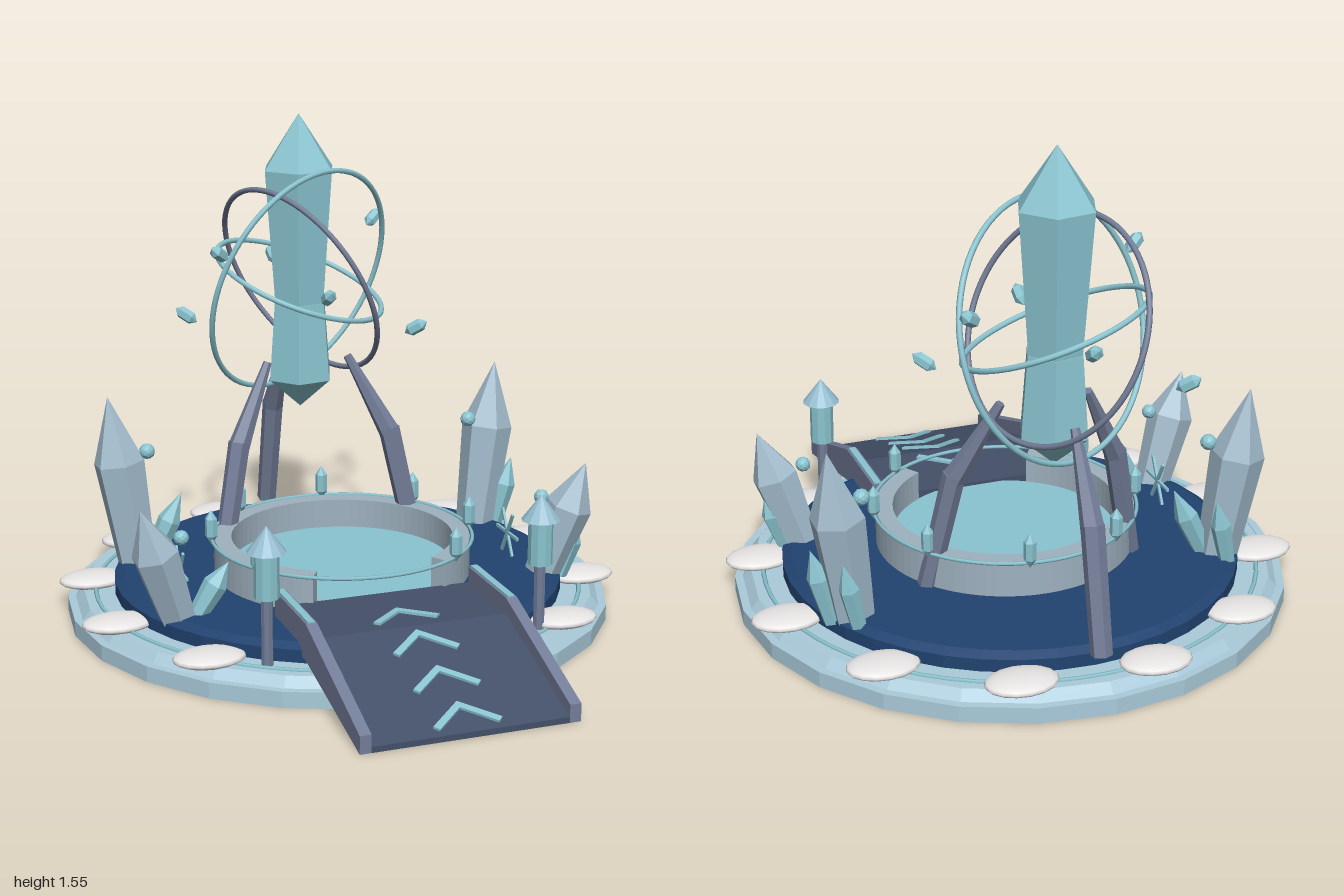
import * as THREE from 'three';

const mat = (name, color) => {
  const m = new THREE.MeshStandardMaterial({ color });
  m.name = name;
  return m;
};
const V = (x, y, z) => new THREE.Vector3(x, y, z);
const UP = V(0, 1, 0);
const rad = THREE.MathUtils.degToRad;

// Faceted normals for low-poly parts
function flat(geo) {
  const g = geo.index ? geo.toNonIndexed() : geo;
  g.computeVertexNormals();
  return g;
}

export function createModel() {
  const root = new THREE.Group();
  const M = {
    ice: mat('pale ice stone', 0xabcbdb),
    rim: mat('grey rim stone', 0x9fb2c0),
    navy: mat('deep blue floor', 0x214370),
    teal: mat('teal crystal', 0x8ac4d0),
    frost: mat('grey blue crystal', 0xa3bccd),
    metal: mat('slate metal', 0x737d98),
    deck: mat('dark ramp deck', 0x445069),
    snow: mat('snow', 0xebe8e8),
    roof: mat('lamp roof blue', 0x97bfd2),
  };

  const add = (name, geo, material, x = 0, y = 0, z = 0, parent = root) => {
    const m = new THREE.Mesh(geo, material);
    m.name = name;
    m.position.set(x, y, z);
    parent.add(m);
    return m;
  };
  const disc = (name, rTop, rBottom, y0, y1, z, n, material) =>
    add(name, flat(new THREE.CylinderGeometry(rTop, rBottom, y1 - y0, n)), material, 0, (y0 + y1) / 2, z);
  // Tapered rod between two points
  const rod = (name, a, b, ra, rb, n, material) => {
    const d = b.clone().sub(a);
    const m = add(name, flat(new THREE.CylinderGeometry(rb, ra, d.length(), n)), material);
    m.position.copy(a).addScaledVector(d, 0.5);
    m.quaternion.setFromUnitVectors(UP, d.normalize());
    return m;
  };
  // Faceted crystal from base to tip, profile = [radius share, length share]
  const crystal = (name, a, b, r, material, profile, n = 6) => {
    const d = b.clone().sub(a), len = d.length();
    const pts = profile.map(([p, t]) => new THREE.Vector2(p * r, t * len));
    const m = add(name, flat(new THREE.LatheGeometry(pts, n)), material, a.x, a.y, a.z);
    m.quaternion.setFromUnitVectors(UP, d.normalize());
    return m;
  };
  const POINTED = [[0, 0], [0.75, 0], [1, 0.62], [0, 1]];
  const SPINDLE = [[0, 0], [1, 0.25], [1, 0.75], [0, 1]];

  // Round base and blue floor
  const CZ = -0.13;
  disc('baseStep', 0.87, 0.87, 0, 0.05, CZ, 24, M.ice);
  disc('baseLedge', 0.82, 0.845, 0.05, 0.08, CZ, 24, M.ice);
  disc('floorSide', 0.72, 0.72, 0.08, 0.12, CZ, 40, M.navy);
  disc('floor', 0.69, 0.72, 0.12, 0.135, CZ, 40, M.navy);
  add('baseInlay', new THREE.TorusGeometry(0.78, 0.007, 6, 64).rotateX(Math.PI / 2), M.teal, 0, 0.081, CZ);

  // Snow mounds around the edge, leaving the ramp free
  for (let i = 0; i < 12; i++) {
    const deg = 18 + i * 30;
    if (deg > 150 && deg < 210) continue;
    const m = add('snowMound', new THREE.SphereGeometry(1, 16, 10), M.snow,
      0.79 * Math.sin(rad(deg)), 0.092, CZ - 0.79 * Math.cos(rad(deg)));
    m.scale.set(0.112, 0.024, 0.08);
  }

  // Pool with a rim that opens toward the ramp
  const PZ = -0.085;
  const rim = new THREE.Shape();
  rim.absarc(0, 0, 0.41, rad(-58), rad(238), false);
  rim.absarc(0, 0, 0.355, rad(238), rad(-58), true);
  add('poolRim', new THREE.ExtrudeGeometry(rim, { depth: 0.12, bevelEnabled: false, curveSegments: 32 })
    .rotateX(-Math.PI / 2), M.rim, 0, 0.13, PZ);
  disc('water', 0.357, 0.357, 0.13, 0.155, PZ, 40, M.teal);
  add('rimRing', new THREE.TorusGeometry(0.418, 0.006, 6, 64).rotateX(Math.PI / 2), M.teal, 0, 0.25, PZ);
  for (let i = 0; i < 7; i++) {
    const a = rad(38 + 44 * i), x = 0.42 * Math.sin(a), z = PZ + 0.42 * Math.cos(a);
    crystal('rimShard', V(x, 0.235, z), V(x, 0.35, z), 0.02, M.teal, SPINDLE);
  }

  // Ramp deck, side walls and chevrons
  const side = (pts, width, xRight, name, material) => {
    const s = new THREE.Shape(pts.map(([z, y]) => new THREE.Vector2(z, y)));
    add(name, new THREE.ExtrudeGeometry(s, { depth: width, bevelEnabled: false }).rotateY(-Math.PI / 2),
      material, xRight);
  };
  side([[1, 0], [1, 0.018], [0.54, 0.165], [0.25, 0.165], [0.25, 0.11], [0.54, 0.11]],
    0.6, 0.3, 'rampDeck', M.deck);
  for (const x of [0.335, -0.3]) {
    side([[1, 0], [1, 0.055], [0.54, 0.215], [0.25, 0.215], [0.25, 0.1], [0.54, 0.1]],
      0.035, x, 'rampWall', M.metal);
    add('wallStrip', new THREE.BoxGeometry(0.022, 0.006, 0.29), M.teal, x - 0.0175, 0.217, 0.395);
  }
  const vee = new THREE.Shape([[0, 0], [0.105, -0.09], [0.09, -0.106], [0, -0.028], [-0.09, -0.106], [-0.105, -0.09]]
    .map(p => new THREE.Vector2(...p)));
  const veeGeo = new THREE.ExtrudeGeometry(vee, { depth: 0.008, bevelEnabled: false }).rotateX(-Math.PI / 2);
  const slope = Math.atan2(0.147, 0.46);
  [0.4, 0.565, 0.725, 0.88].forEach((z, i) => {
    const m = add('chevron', veeGeo, M.teal, 0, i ? 0.165 - (z - 0.54) * Math.tan(slope) : 0.165, z);
    if (i) m.rotation.x = slope;
  });

  // Great floating crystal in two parts
  const HUB = V(0, 1, -0.5);
  const great = (name, pts) => {
    const m = add(name, flat(new THREE.LatheGeometry(pts.map(p => new THREE.Vector2(...p)), 6)), M.teal, 0, 0, HUB.z);
    m.rotation.y = rad(40);
  };
  great('crystalTop', [[0, 0.9], [0.09, 0.92], [0.125, 1.37], [0, 1.55]]);
  great('crystalBottom', [[0, 0.57], [0.113, 0.67], [0.093, 0.93], [0, 0.94]]);

  // Tilted orbit rings
  const orbit = (name, r, n, material) => {
    const m = add(name, new THREE.TorusGeometry(r, 0.009, 8, 72), material, HUB.x, HUB.y, HUB.z);
    m.quaternion.setFromUnitVectors(V(0, 0, 1), n.normalize());
  };
  orbit('outerRing', 0.392, V(0.46, -0.31, 0.835), M.teal);
  orbit('innerRing', 0.288, V(0.29, 0.93, 0.22), M.teal);
  orbit('darkRing', 0.347, V(0.845, 0.43, -0.33), M.metal);

  // Shards circling the great crystal
  [[0.335, 1.15, -0.71], [-0.335, 1.15, -0.29], [0.33, 0.86, -0.29], [-0.33, 0.86, -0.71],
    [0, 1, -0.21], [0, 1.03, -0.79]].forEach(([x, y, z]) => {
    const c = V(x, y, z), d = V(x, 0, z - HUB.z).normalize().setY(0.6).normalize().multiplyScalar(0.043);
    crystal('orbitShard', c.clone().sub(d), c.clone().add(d), 0.021, M.teal, SPINDLE);
  });

  // Three bent supports
  for (const deg of [60, 180, 300]) {
    const at = (r, y) => V(r * Math.sin(rad(deg)), y, HUB.z + r * Math.cos(rad(deg)));
    rod('supportLower', at(0.385, 0.13), at(0.3, 0.51), 0.033, 0.036, 6, M.metal);
    rod('supportUpper', at(0.302, 0.495), at(0.16, 0.75), 0.036, 0.014, 6, M.metal);
  }

  // Crystal clusters with an orb, at both sides
  for (const s of [1, -1]) {
    crystal('tallCrystal', V(s * 0.595, 0.11, -0.4), V(s * 0.675, 0.68, -0.43), 0.085, M.frost, POINTED);
    crystal('shortCrystal', V(s * 0.605, 0.11, 0.13), V(s * 0.73, 0.49, 0.18), 0.075, M.frost, POINTED);
    for (const [z, h] of [[-0.39, 0.35], [0.14, 0.29]]) {
      const x = s > 0 ? 0.66 : -0.56;
      crystal('smallCrystal', V(x, 0.11, z), V(x + (s > 0 ? 0.06 : 0.11), h, z + 0.01), 0.038, M.teal, POINTED);
    }
    crystal('smallCrystal', V(s * 0.6, 0.11, -0.47), V(s * 0.6 + 0.05, 0.34, -0.48), 0.032, M.teal, POINTED);
    add('orb', flat(new THREE.IcosahedronGeometry(0.026, 1)), M.teal, s * 0.56, 0.5, -0.385);
    add('orb', flat(new THREE.IcosahedronGeometry(0.024, 1)), M.teal, s * 0.595, 0.38, 0.14);

    // Lamp post
    const lx = s * 0.435, lz = 0.485;
    rod('lampPost', V(lx, 0.07, lz), V(lx, 0.3, lz), 0.018, 0.018, 8, M.metal);
    rod('lampGlass', V(lx, 0.29, lz), V(lx, 0.435, lz), 0.038, 0.038, 10, M.teal);
    add('lampRoof', flat(new THREE.ConeGeometry(0.06, 0.08, 12)), M.roof, lx, 0.47, lz);

    // Upright snowflake
    const flake = new THREE.Group();
    flake.name = 'snowflake';
    flake.position.set(s * 0.555, 0.21, -0.03);
    root.add(flake);
    for (let i = 0; i < 3; i++) {
      const bar = add('flakeBar', new THREE.BoxGeometry(0.008, 0.01, 0.165), M.teal, 0, 0, 0, flake);
      bar.rotation.x = i * Math.PI / 3;
    }
  }
  return root;
}
